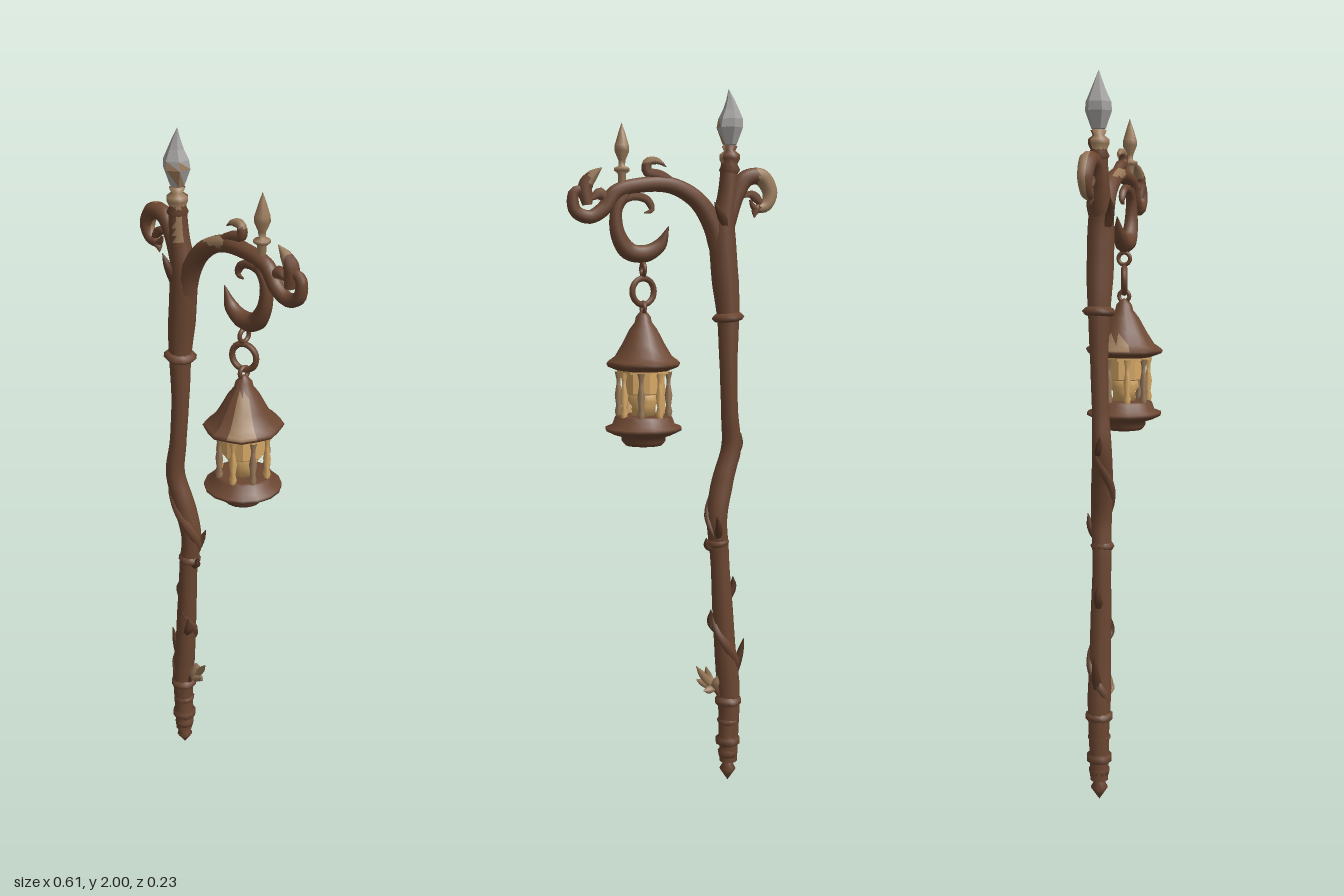
import * as THREE from 'three';

const mat = (name, color) => {
  const m = new THREE.MeshStandardMaterial({ color });
  m.name = name;
  return m;
};

export function createModel() {
  const wood = mat('brown wood', 0x6b4631);
  const dark = mat('dark wood', 0x593927);
  const worn = mat('worn tan wood', 0x9a7a5a);
  const steel = mat('grey steel', 0xa3a19f);
  const glow = mat('amber glow', 0xd6a866);
  const root = new THREE.Group();
  root.name = 'lanternStaff';

  const add = (name, geo, material, parent = root) => {
    const mesh = new THREE.Mesh(geo, material);
    mesh.name = name;
    parent.add(mesh);
    return mesh;
  };

  // Tapered tube: radii are spread evenly along the path
  const limb = (points, radii, segs = 24, sides = 8) => {
    const curve = new THREE.CatmullRomCurve3(points.map(p => new THREE.Vector3(p[0], p[1], p[2] || 0)));
    const geo = new THREE.TubeGeometry(curve, segs, 1, sides, false);
    const pos = geo.attributes.position, v = new THREE.Vector3();
    for (let i = 0; i <= segs; i++) {
      const c = curve.getPointAt(i / segs);
      const f = (i / segs) * (radii.length - 1), k = Math.min(Math.floor(f), radii.length - 2);
      const r = THREE.MathUtils.lerp(radii[k], radii[k + 1], f - k);
      for (let j = 0; j <= sides; j++) {
        const n = i * (sides + 1) + j;
        v.fromBufferAttribute(pos, n).sub(c).multiplyScalar(r).add(c);
        pos.setXYZ(n, v.x, v.y, v.z);
      }
    }
    return geo;
  };

  // Turned part, profile given from bottom to top
  const turned = (profile, sides = 12, flat = false) => {
    let geo = new THREE.LatheGeometry(profile.map(p => new THREE.Vector2(p[0], p[1])), sides);
    if (flat) {
      geo = geo.toNonIndexed();
      geo.computeVertexNormals();
    }
    return geo;
  };

  // Sort faces into two material groups by their centre
  const paint = (geo, rule) => {
    const pos = geo.attributes.position, lists = [[], []];
    const count = geo.index ? geo.index.count : pos.count;
    const at = i => (geo.index ? geo.index.getX(i) : i);
    const c = new THREE.Vector3(), v = new THREE.Vector3();
    for (let i = 0; i < count; i += 3) {
      c.set(0, 0, 0);
      for (let j = 0; j < 3; j++) c.add(v.fromBufferAttribute(pos, at(i + j)));
      c.divideScalar(3);
      lists[rule(c) ? 1 : 0].push(at(i), at(i + 1), at(i + 2));
    }
    geo.setIndex([...lists[0], ...lists[1]]);
    geo.clearGroups();
    geo.addGroup(0, lists[0].length, 0);
    geo.addGroup(lists[0].length, lists[1].length, 1);
    return geo;
  };

  // Crooked shaft
  const shaftPath = [[-0.167, 0.06], [-0.168, 0.25], [-0.155, 0.4], [-0.146, 0.53], [-0.135, 0.7], [-0.126, 0.8, -0.004],
    [-0.145, 0.9, 0.004], [-0.174, 1.0, 0.012], [-0.167, 1.1, 0.006], [-0.16, 1.25], [-0.158, 1.38],
    [-0.145, 1.52], [-0.14, 1.62], [-0.155, 1.72], [-0.16, 1.82]];
  const shaft = limb(shaftPath, [0.026, 0.029, 0.034, 0.031, 0.03, 0.027, 0.029, 0.032, 0.028, 0.024, 0.025, 0.03, 0.038, 0.038, 0.028, 0.022], 90, 10);
  add('shaft', paint(shaft, c => c.y > 1.7 && c.z > 0.008 && c.x > -0.148), [wood, worn]);

  // Vines twisted round the shaft
  const shaftCurve = new THREE.CatmullRomCurve3(shaftPath.map(p => new THREE.Vector3(p[0], p[1], p[2] || 0)));
  [[0.1, 0.28, 1.2, 0.5], [0.38, 0.54, 0.8, 5.2]].forEach(([a, b, turns, phase]) => {
    const pts = [];
    for (let i = 0; i <= 12; i++) {
      const p = shaftCurve.getPointAt(a + (b - a) * i / 12);
      const ang = phase + turns * Math.PI * 2 * i / 12;
      pts.push([p.x + 0.024 * Math.cos(ang), p.y, p.z + 0.024 * Math.sin(ang)]);
    }
    add('vine', limb(pts, [0.003, 0.014, 0.015, 0.014, 0.003], 36, 6), wood);
  });

  // Pointed foot with turned rings
  add('foot', turned([[0, 0], [0.012, 0.018], [0.024, 0.036], [0.012, 0.058], [0.014, 0.066], [0.027, 0.075],
    [0.03, 0.09], [0.024, 0.1], [0.025, 0.108], [0.036, 0.116], [0.036, 0.132], [0.028, 0.14],
    [0.029, 0.23], [0.039, 0.24], [0.039, 0.252], [0.028, 0.262]]), wood).position.x = -0.165;

  // Rings on the shaft
  [[-0.158, 1.372, 0.047, -0.1], [-0.13, 0.725, 0.034, -0.12], [-0.165, 0.185, 0.033, 0]].forEach(([x, y, r, tilt]) => {
    const ring = add('shaftRing', turned([[0.02, -0.016], [r * 0.85, -0.009], [r, 0], [r * 0.8, 0.01], [0.02, 0.018]]), wood);
    ring.position.set(x, y, 0);
    ring.rotation.z = tilt;
  });

  // Thorns and buds
  [
    [[-0.18, 0.33], [-0.2, 0.38], [-0.213, 0.43]],
    [[-0.16, 0.56], [-0.178, 0.59], [-0.178, 0.62]],
    [[-0.135, 0.46, 0.01], [-0.118, 0.48, 0.02], [-0.118, 0.52, 0.02]],
    [[-0.175, 0.98], [-0.198, 1.005, 0.01], [-0.205, 1.04, 0.015]],
    [[-0.125, 0.74, -0.01], [-0.12, 0.77, -0.035], [-0.11, 0.81, -0.048]],
    [[-0.12, 0.71], [-0.1, 0.715], [-0.095, 0.74]],
    [[-0.155, 1.6, 0.02], [-0.165, 1.64, 0.035], [-0.18, 1.67, 0.038]],
    [[-0.14, 1.63, -0.02], [-0.12, 1.66, -0.035], [-0.1, 1.69, -0.042]],
  ].forEach(p => add('thorn', limb(p, [0.015, 0.013, 0.009, 0.001], 10, 6), dark));

  // Leafy twig near the foot
  add('twig', limb([[-0.15, 0.25], [-0.13, 0.28], [-0.115, 0.295]], [0.012, 0.01, 0.01], 8, 6), wood);
  [[-0.065, 0.36, 0], [-0.1, 0.352, 0.012], [-0.07, 0.315, 0.012], [-0.085, 0.285, -0.008], [-0.125, 0.33, -0.015]].forEach(t =>
    add('twigLeaf', limb([[-0.122, 0.288], [(t[0] - 0.122) / 2 + 0.003, (t[1] + 0.288) / 2, t[2]], t], [0.007, 0.013, 0.011, 0.001], 10, 6), worn));

  // Main arm ending in a scroll
  const arm = limb([[-0.14, 1.52], [-0.115, 1.62], [-0.065, 1.695], [0.01, 1.735], [0.1, 1.735], [0.17, 1.715], [0.205, 1.67],
    [0.245, 1.648], [0.284, 1.665], [0.286, 1.712], [0.255, 1.72], [0.24, 1.69]],
  [0.024, 0.03, 0.028, 0.025, 0.023, 0.022, 0.021, 0.021, 0.02, 0.018, 0.015, 0.004], 70, 10);
  add('arm', paint(arm, c => c.z > 0.008 && c.y > 1.73 && c.x < 0.03), [wood, worn]);

  // Back curl
  const curl = limb([[-0.15, 1.63], [-0.178, 1.71], [-0.21, 1.758], [-0.255, 1.762], [-0.282, 1.72], [-0.268, 1.682], [-0.235, 1.678], [-0.222, 1.70]],
    [0.026, 0.025, 0.024, 0.024, 0.024, 0.021, 0.015, 0.003], 44, 10);
  add('backCurl', paint(curl, c => c.x < -0.24 && c.z < 0.004), [wood, worn]);

  // Small leaves along the arm and curls
  [
    [[-0.255, 1.69], [-0.225, 1.715], [-0.2, 1.705]],
    [[-0.265, 1.685], [-0.24, 1.67], [-0.235, 1.65]],
  ].forEach(p => add('curlLeaf', limb(p, [0.009, 0.014, 0.011, 0.001], 12, 6), wood));
  const leaf = limb([[0.25, 1.68], [0.255, 1.73], [0.235, 1.758], [0.208, 1.78]], [0.014, 0.02, 0.02, 0.014, 0.001], 16, 8);
  add('scrollLeaf', paint(leaf, c => c.x < 0.245 && c.y > 1.735), [wood, worn]);
  add('scrollBud', limb([[0.19, 1.69], [0.215, 1.71], [0.24, 1.695]], [0.006, 0.018, 0.004], 10, 8), wood);
  const sprout = limb([[0.0, 1.735], [0.045, 1.762], [0.08, 1.772], [0.078, 1.798], [0.05, 1.8], [0.025, 1.785]],
    [0.014, 0.016, 0.015, 0.014, 0.011, 0.001], 26, 6);
  add('armSprout', paint(sprout, c => c.y > 1.795), [wood, worn]);

  // Crescent hook under the arm
  add('hook', limb([[0.14, 1.71], [0.167, 1.67], [0.165, 1.605], [0.135, 1.558], [0.09, 1.55], [0.045, 1.573], [0.018, 1.625]],
    [0.014, 0.016, 0.02, 0.025, 0.025, 0.018, 0.001], 40, 10), wood);
  add('hookCurl', limb([[0.16, 1.69], [0.12, 1.705], [0.08, 1.695], [0.068, 1.668], [0.09, 1.66]], [0.012, 0.013, 0.012, 0.01, 0.002], 22, 6), wood);

  // Finials: flame-shaped spear tip on the shaft, bud on the arm
  const collar = turned([[0.02, 1.765], [0.03, 1.78], [0.022, 1.795], [0.029, 1.81], [0.029, 1.822], [0.016, 1.832], [0.022, 1.845], [0, 1.852]]);
  add('spearCollar', paint(collar, c => c.y > 1.79 && c.z > -0.01), [wood, worn]).position.x = -0.16;
  const tip = turned([[0, 1.836], [0.02, 1.85], [0.037, 1.895], [0.035, 1.918], [0.022, 1.945], [0.011, 1.972], [0, 2]], 6);
  const tp = tip.attributes.position;
  for (let i = 0; i < tp.count; i++) {
    const t = Math.max(0, (tp.getY(i) - 1.9) / 0.1);
    tp.setX(i, tp.getX(i) - 0.02 * t * (1 - t) + 0.004 * t);
  }
  const flatTip = tip.toNonIndexed();
  flatTip.computeVertexNormals();
  add('spearTip', paint(flatTip, c => c.y < 1.91 && c.x > 0.008 && c.z > 0), [steel, worn]).position.x = -0.16;
  add('armBud', turned([[0.008, 1.7], [0.012, 1.765], [0.022, 1.772], [0.022, 1.78], [0.009, 1.785], [0.01, 1.8],
    [0.021, 1.825], [0.02, 1.84], [0.009, 1.875], [0, 1.9]], 8), worn).position.x = 0.152;

  // Hanging lantern
  const lantern = new THREE.Group();
  lantern.name = 'lantern';
  lantern.position.x = 0.093;
  root.add(lantern);
  const ring = (name, y, r, tube, turn) => {
    const m = add(name, new THREE.TorusGeometry(r, tube, 8, 24), wood, lantern);
    m.position.y = y;
    m.rotation.y = turn;
  };
  ring('hookLink', 1.508, 0.017, 0.006, Math.PI / 2);
  ring('largeRing', 1.447, 0.036, 0.0085, 0.3);
  ring('capLink', 1.402, 0.015, 0.006, Math.PI / 2);

  // Roof with eight soft corners
  const roof = turned([[0.07, 1.228], [0.106, 1.242], [0.11, 1.25], [0.104, 1.256], [0.086, 1.268], [0.064, 1.302], [0.042, 1.342], [0.026, 1.362], [0.022, 1.378], [0.01, 1.392], [0, 1.396]], 16);
  const rp = roof.attributes.position;
  for (let i = 0; i < rp.count; i++) {
    const k = Math.round(Math.atan2(rp.getX(i), rp.getZ(i)) / (Math.PI / 8));
    const s = k % 2 ? 0.95 : 1;
    rp.setXYZ(i, rp.getX(i) * s * 0.97, rp.getY(i), rp.getZ(i) * s * 1.04);
  }
  roof.computeVertexNormals();
  add('roof', paint(roof, c => {
    const a = Math.atan2(c.x, c.z);
    return (c.y > 1.252 && c.y < 1.355 && a > 0.39 && a < 1.18) || (c.y > 1.25 && c.y < 1.29 && a > -1.97 && a < -1.17);
  }), [wood, worn], lantern);
  add('roofUnderside', turned([[0, 1.222], [0.076, 1.222], [0.076, 1.236], [0, 1.236]], 8, true), glow, lantern);
  add('base', turned([[0, 1.018], [0.052, 1.02], [0.062, 1.032], [0.062, 1.044], [0.082, 1.05], [0.107, 1.062], [0.107, 1.071],
    [0.088, 1.078], [0.08, 1.1], [0.07, 1.104], [0, 1.104]], 16), wood, lantern);

  // Glass band, candle and turned posts
  add('glassBand', turned([[0.06, 1.165], [0.062, 1.168], [0.062, 1.224]], 8, true), glow, lantern);
  add('candle', turned([[0, 1.1], [0.034, 1.1], [0.034, 1.13], [0.044, 1.145], [0.04, 1.17], [0.02, 1.2], [0, 1.22]], 10), glow, lantern);
  const post = turned([[0.008, 1.1], [0.011, 1.115], [0.007, 1.13], [0.011, 1.16], [0.006, 1.19], [0.006, 1.205], [0.011, 1.226]], 6);
  for (let i = 0; i < 8; i++) {
    const a = (i + 0.5) * Math.PI / 4;
    add('post', post, i % 2 ? worn : glow, lantern).position.set(0.07 * Math.sin(a), 0, 0.07 * Math.cos(a));
  }
  return root;
}
